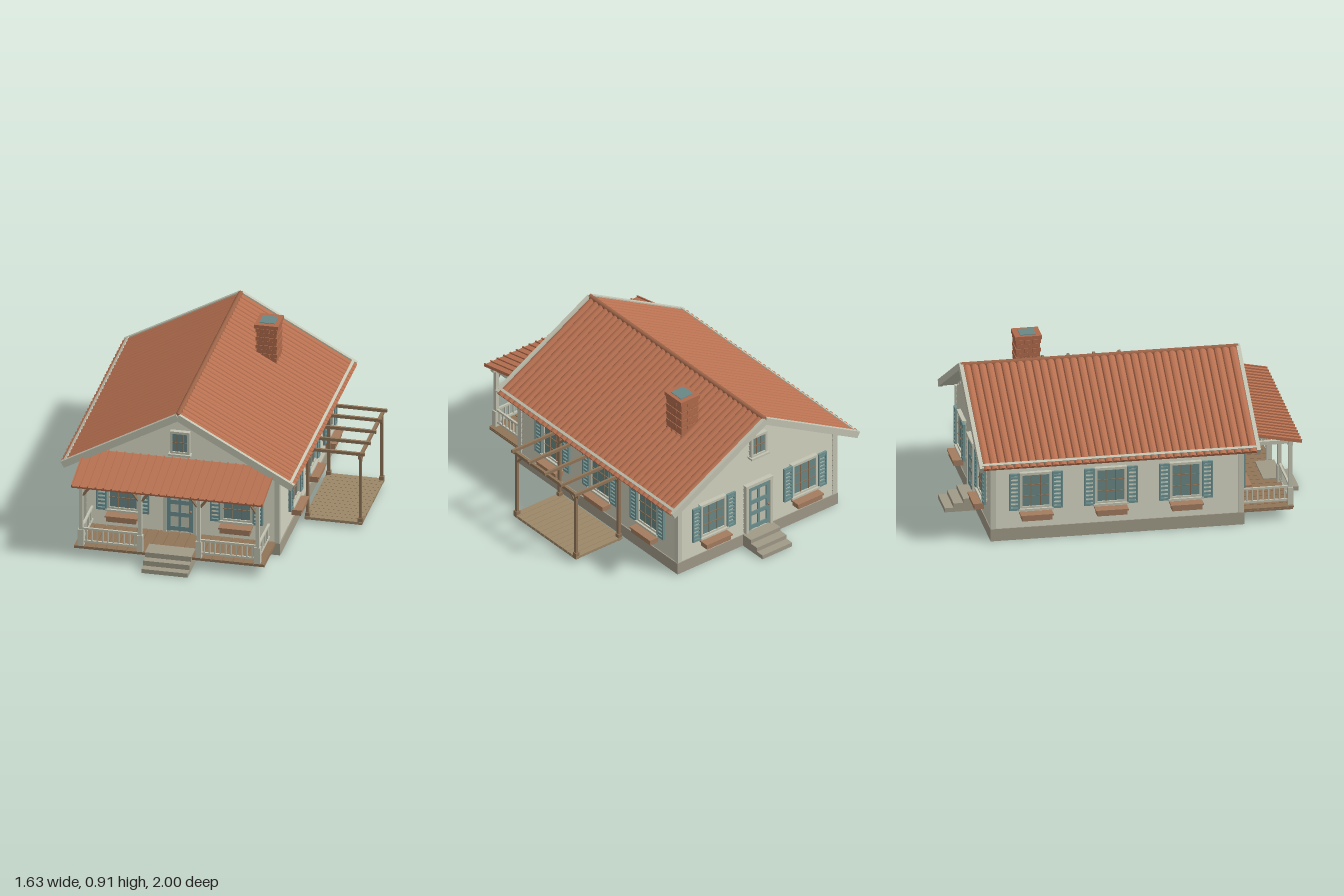
import * as THREE from 'three';
import { toCreasedNormals } from 'three/addons/utils/BufferGeometryUtils.js';

const mat = (name, color) => Object.assign(new THREE.MeshStandardMaterial({ color }), { name });
const M = {
  siding: mat('paleSiding', 0xc3c4b2), stone: mat('foundationStone', 0xa09a88),
  tile: mat('clayTile', 0xb87151), ridge: mat('darkClay', 0x9c6347),
  brick: mat('brick', 0xb06b4c), wood: mat('weatheredWood', 0x907458),
  planter: mat('planterWood', 0xa37c5f), plank: mat('tanPlank', 0x9c8768),
  teal: mat('tealPaint', 0x6f9291), glass: mat('glass', 0x6a8886),
};

// House layout
const CX = -0.145, CZ = -0.105, HX = 0.555, HZ = 0.705;
const RIDGE = 0.835, PITCH = 0.555, ANGLE = Math.atan(PITCH);
const roofY = dx => RIDGE - PITCH * Math.abs(dx);

function add(parent, name, geo, m, x = 0, y = 0, z = 0) {
  const mesh = new THREE.Mesh(geo, m);
  mesh.name = name;
  mesh.position.set(x, y, z);
  parent.add(mesh);
  return mesh;
}
const box = (p, name, m, w, h, d, x, y, z) => add(p, name, new THREE.BoxGeometry(w, h, d), m, x, y, z);
// Box given by its lower and upper corners
const span = (p, name, m, a, b) => box(p, name, m, b[0] - a[0], b[1] - a[1], b[2] - a[2],
  (a[0] + b[0]) / 2, (a[1] + b[1]) / 2, (a[2] + b[2]) / 2);
function group(parent, name, x = 0, y = 0, z = 0, ry = 0) {
  const g = new THREE.Group();
  g.name = name;
  g.position.set(x, y, z);
  g.rotation.y = ry;
  parent.add(g);
  return g;
}
// Square bar between two points
function bar(p, name, m, a, b, t) {
  const A = new THREE.Vector3(...a), B = new THREE.Vector3(...b);
  const mesh = box(p, name, m, t, t, A.distanceTo(B), 0, 0, 0);
  mesh.position.copy(A).add(B).multiplyScalar(0.5);
  mesh.quaternion.setFromUnitVectors(new THREE.Vector3(0, 0, 1), B.sub(A).normalize());
}

// Frame, panes and sill; local +z points out of the wall
function sash(p, w, h, cols, rows) {
  box(p, 'windowGlass', M.glass, w, h, 0.008, 0, 0, 0.018);
  for (const s of [-1, 1]) {
    box(p, 'frameSide', M.siding, 0.014, h + 0.014, 0.03, s * w / 2, 0, 0.015);
    box(p, 'frameRail', M.siding, w + 0.014, 0.014, 0.03, 0, s * h / 2, 0.015);
  }
  for (let i = 1; i < cols; i++) box(p, 'muntin', M.wood, 0.005, h, 0.008, w * (i / cols - 0.5), 0, 0.022);
  for (let i = 1; i < rows; i++) box(p, 'muntin', M.wood, w, 0.005, 0.008, 0, h * (i / rows - 0.5), 0.022);
  box(p, 'windowSill', M.siding, w + 0.03, 0.012, 0.045, 0, -h / 2 - 0.01, 0.02);
}
function windowUnit(wall, x) {
  const g = group(wall, 'window', x, 0.295);
  sash(g, 0.168, 0.2, 3, 3);
  for (const s of [-1, 1]) {
    const sh = group(g, 'shutter', s * 0.122, -0.002, 0.03);
    for (const e of [-1, 1]) {
      box(sh, 'shutterStile', M.teal, 0.009, 0.22, 0.014, e * 0.025, 0, 0);
      box(sh, 'shutterRail', M.teal, 0.056, 0.014, 0.014, 0, e * 0.103, 0);
    }
    for (let i = 0; i < 8; i++) box(sh, 'shutterSlat', M.teal, 0.046, 0.013, 0.008, 0, -0.084 + i * 0.024, 0);
  }
  box(g, 'planterBox', M.planter, 0.17, 0.03, 0.055, 0, -0.148, 0.05);
  box(g, 'planterLip', M.planter, 0.185, 0.009, 0.065, 0, -0.131, 0.052);
}
function door(wall) {
  const g = group(wall, 'door', 0, 0.235);
  box(g, 'doorPanel', M.siding, 0.15, 0.29, 0.012, 0, 0, 0.012);
  for (const s of [-1, 1]) {
    box(g, 'doorCasing', M.siding, 0.018, 0.31, 0.032, s * 0.086, 0, 0.016);
    box(g, 'doorStile', M.teal, 0.024, 0.29, 0.014, s * 0.065, 0, 0.018);
  }
  box(g, 'doorHead', M.siding, 0.19, 0.018, 0.034, 0, 0.152, 0.017);
  box(g, 'doorMullion', M.teal, 0.014, 0.29, 0.012, 0, 0, 0.018);
  for (const y of [-0.128, -0.04, 0.035, 0.125]) box(g, 'doorRail', M.teal, 0.13, 0.026, 0.013, 0, y, 0.018);
  add(g, 'doorKnob', new THREE.SphereGeometry(0.007, 10, 8), M.planter, 0.063, -0.015, 0.03);
}

// One wall face with overlapping clapboards
function wallFace(house, name, x, z, ry, half, gable) {
  const w = group(house, name, x, 0, z, ry), H = 0.034;
  for (let y = 0.07; y < (gable ? 0.78 : 0.46); y += H) {
    const hw = gable ? Math.min(half, (RIDGE - 0.03 - y - H) / PITCH) : half;
    if (hw < 0.02) break;
    const s = new THREE.Shape([[0, 0], [0.01, 0], [0.002, H], [0, H]].map(p => new THREE.Vector2(...p)));
    const geo = new THREE.ExtrudeGeometry(s, { depth: hw * 2, bevelEnabled: false });
    geo.rotateY(-Math.PI / 2).translate(hw, 0, 0);
    add(w, 'clapboard', geo, M.siding, 0, y, 0);
  }
  return w;
}

// Half of the main roof: scalloped tiles over a pale deck
function roofHalf(root, ry) {
  const g = group(root, 'roofHalf', CX, 0, CZ, ry);
  const c = Math.cos(ANGLE), s = Math.sin(ANGLE), L = 0.665 / c, n = 36, W = 1.55, r = W / n / 2;
  const f = group(g, 'roofSlope');
  f.quaternion.setFromRotationMatrix(new THREE.Matrix4().makeBasis(
    new THREE.Vector3(0, 0, -1), new THREE.Vector3(s, c, 0), new THREE.Vector3(c, -s, 0)));
  f.position.y = RIDGE;
  const shape = new THREE.Shape().moveTo(-W / 2, -0.004);
  for (let i = 0; i < n; i++) shape.absellipse(-W / 2 + r * (2 * i + 1), 0, r, 0.015, Math.PI, 0, true);
  shape.lineTo(W / 2, -0.004);
  const geo = new THREE.ExtrudeGeometry(shape, { depth: L, bevelEnabled: false, curveSegments: 8 });
  add(f, 'roofTiles', toCreasedNormals(geo, 0.7), M.tile);
  box(f, 'roofDeck', M.siding, 1.56, 0.018, L - 0.025, 0, -0.013, (L - 0.025) / 2);
  for (const e of [-1, 1]) box(f, 'rakeBoard', M.siding, 0.022, 0.04, L - 0.005, e * 0.785, -0.004, (L - 0.005) / 2);
  box(f, 'eaveTrim', M.siding, 1.58, 0.038, 0.016, 0, -0.002, L - 0.03);
}

function steps(root, x0, x1, list) {
  const g = group(root, 'steps');
  for (const [h, z0, z1] of list) span(g, 'step', M.stone, [x0, 0, z0], [x1, h, z1]);
}

function porch(root) {
  const g = group(root, 'porch');
  const n = 18, x0 = -0.69, w = 1.09 / n;
  span(g, 'porchFloor', M.wood, [x0, 0.06, 0.6], [0.4, 0.07, 0.895]);
  for (let i = 0; i < n; i++) span(g, 'porchPlank', M.wood, [x0 + i * w + 0.002, 0.07, 0.6], [x0 + (i + 1) * w - 0.002, 0.078, 0.9]);
  const posts = [-0.65, -0.313, 0.023, 0.36];
  posts.forEach((x, i) => {
    box(g, 'porchPost', M.siding, 0.02, 0.38, 0.022, x, 0.265, 0.885);
    box(g, 'postBase', M.siding, 0.034, 0.1, 0.03, x, 0.128, 0.885);
    box(g, 'postCap', M.siding, 0.03, 0.012, 0.03, x, 0.44, 0.885);
    for (const d of i === 0 ? [1] : i === 3 ? [-1] : [-1, 1])
      bar(g, 'postBrace', M.wood, [x + d * 0.01, 0.39, 0.885], [x + d * 0.05, 0.445, 0.885], 0.011);
  });
  span(g, 'porchBeam', M.siding, [-0.68, 0.445, 0.873], [0.39, 0.466, 0.897]);
  for (const x of [-0.65, 0.36]) span(g, 'sideBeam', M.siding, [x - 0.01, 0.445, 0.6], [x + 0.01, 0.466, 0.88]);
  // Railings across the front bays and along both sides
  const rail = (x0, z0, x1, z1, count) => {
    for (const y of [0.105, 0.183]) bar(g, 'handrail', M.siding, [x0, y, z0], [x1, y, z1], 0.012);
    for (let i = 1; i < count; i++) {
      const t = i / count;
      box(g, 'baluster', M.siding, 0.008, 0.08, 0.008, x0 + (x1 - x0) * t, 0.144, z0 + (z1 - z0) * t);
    }
  };
  rail(-0.65, 0.885, -0.313, 0.885, 11);
  rail(0.023, 0.885, 0.36, 0.885, 11);
  for (const x of [-0.65, 0.36]) rail(x, 0.885, x, 0.61, 9);
  // Lean-to roof with standing seams
  const r = group(g, 'porchRoof', -0.1475, 0.501, 0.77);
  r.rotation.x = 0.2;
  box(r, 'porchRoofSheet', M.tile, 1.095, 0.011, 0.355, 0, -0.003, 0);
  for (let i = 0; i <= 24; i++) box(r, 'roofSeam', M.tile, 0.007, 0.01, 0.355, -0.544 + i * 0.04533, 0.006, 0);
}

function pergola(root) {
  const g = group(root, 'pergola');
  const xs = [0.48, 0.783], zs = [0.166, -0.365];
  for (let i = 0; i < 14; i++) span(g, 'patioPlank', M.plank, [0.465, 0.022, 0.183 - (i + 1) * 0.0403 + 0.002], [0.795, 0.036, 0.183 - i * 0.0403]);
  for (const x of xs) {
    span(g, 'floorBeam', M.wood, [x - 0.009, 0.016, -0.375], [x + 0.009, 0.034, 0.176]);
    span(g, 'topBeam', M.wood, [x - 0.008, 0.432, -0.39], [x + 0.008, 0.452, 0.19]);
    for (const z of zs) {
      const d = z > 0 ? -1 : 1;
      box(g, 'pergolaPost', M.wood, 0.016, 0.42, 0.016, x, 0.235, z);
      box(g, 'postFoot', M.wood, 0.026, 0.036, 0.026, x, 0.04, z);
      bar(g, 'pergolaBrace', M.wood, [x, 0.385, z], [x, 0.438, z + d * 0.05], 0.011);
    }
  }
  for (const z of zs) span(g, 'floorBeam', M.wood, [0.475, 0.016, z - 0.008], [0.79, 0.034, z + 0.008]);
  for (const z of [0.178, 0.033, -0.112, -0.257, -0.382]) span(g, 'pergolaRafter', M.wood, [0.455, 0.45, z - 0.007], [0.81, 0.468, z + 0.007]);
}

function chimney(root) {
  const g = group(root, 'chimney', 0.113, 0, -0.472);
  span(g, 'chimneyCore', M.ridge, [-0.056, 0.62, -0.066], [0.056, 0.89, 0.066]);
  for (let row = 0; row < 10; row++) {
    const n = row % 2 ? 3 : 2, grow = row % 2 ? 0.003 : 0;
    const w = (0.118 + grow * 2) / n, d = (0.138 + grow * 2) / n;
    for (let i = 0; i < n; i++) for (let j = 0; j < n; j++)
      box(g, 'chimneyBrick', M.brick, w - 0.003, 0.022, d - 0.003, (i - (n - 1) / 2) * w, 0.638 + row * 0.0253, (j - (n - 1) / 2) * d);
  }
  box(g, 'chimneyCap', M.brick, 0.135, 0.022, 0.152, 0, 0.892, 0);
  box(g, 'flueCover', M.glass, 0.09, 0.006, 0.09, 0, 0.903, 0);
}

export function createModel() {
  const root = new THREE.Group();
  root.name = 'cottage';
  box(root, 'foundation', M.stone, 1.142, 0.072, 1.438, CX, 0.036, CZ);

  // Gabled wall body with corner boards
  const e = roofY(HX) - 0.025;
  const body = new THREE.Shape([[-HX, 0.07], [HX, 0.07], [HX, e], [0, RIDGE - 0.025], [-HX, e]].map(p => new THREE.Vector2(...p)));
  add(root, 'wallBody', new THREE.ExtrudeGeometry(body, { depth: HZ * 2, bevelEnabled: false }), M.siding, CX, 0, CZ - HZ);
  for (const sx of [-1, 1]) for (const sz of [-1, 1])
    box(root, 'cornerBoard', M.siding, 0.03, 0.42, 0.03, CX + sx * (HX - 0.002), 0.28, CZ + sz * (HZ - 0.002));

  // Front and back gable ends
  for (const s of [1, -1]) {
    const w = wallFace(root, s > 0 ? 'frontWall' : 'backWall', CX, CZ + s * HZ, s > 0 ? 0 : Math.PI, HX, true);
    for (const x of [-0.325, 0.325]) windowUnit(w, x);
    door(w);
    sash(group(w, 'gableWindow', 0, 0.642), 0.098, 0.125, 3, 2);
  }
  // Long side walls
  for (const s of [1, -1]) {
    const w = wallFace(root, s > 0 ? 'leftWall' : 'rightWall', CX + s * HX, CZ, s * Math.PI / 2, HZ, false);
    for (const z of [0.385, -0.04, -0.465]) windowUnit(w, -s * z);
  }

  roofHalf(root, 0);
  roofHalf(root, Math.PI);
  const cap = add(root, 'ridgeCap', new THREE.CylinderGeometry(0.016, 0.016, 1.57, 12), M.ridge, CX, RIDGE + 0.002, CZ);
  cap.rotation.x = Math.PI / 2;

  chimney(root);
  porch(root);
  pergola(root);
  steps(root, -0.28, -0.015, [[0.085, 0.8, 0.91], [0.055, 0.8, 0.955], [0.025, 0.8, 1.0]]);
  steps(root, -0.25, -0.04, [[0.074, -0.895, -0.81], [0.05, -0.95, -0.81], [0.025, -1.0, -0.81]]);
  return root;
}
